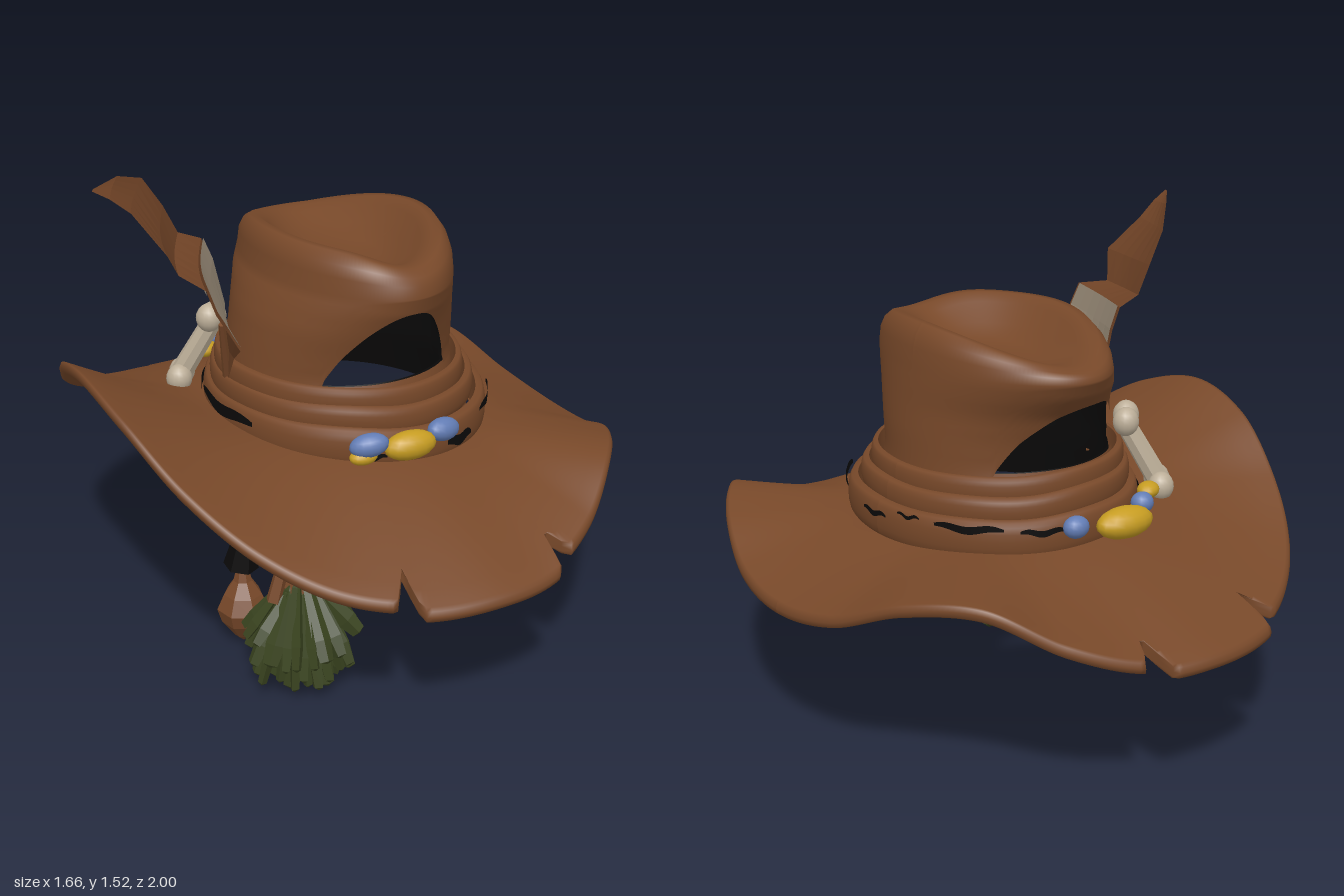
import * as THREE from 'three';
import { mergeGeometries } from 'three/addons/utils/BufferGeometryUtils.js';

const mat = (name, color, side = THREE.FrontSide) =>
  Object.assign(new THREE.MeshStandardMaterial({ color, side }), { name });
const rad = Math.PI / 180, TAU = Math.PI * 2;
const lerp = THREE.MathUtils.lerp;

// Surface from fn(u, v) -> [x, y, z] on an nu x nv grid
function grid(nu, nv, fn, flip = false) {
  const pos = [], idx = [];
  for (let i = 0; i <= nu; i++) for (let j = 0; j <= nv; j++) pos.push(...fn(i / nu, j / nv, j));
  for (let i = 0; i < nu; i++) for (let j = 0; j < nv; j++) {
    const a = i * (nv + 1) + j, b = a + 1, c = a + nv + 1, d = c + 1;
    if (flip) idx.push(a, c, b, b, c, d); else idx.push(a, b, c, b, d, c);
  }
  const g = new THREE.BufferGeometry();
  g.setAttribute('position', new THREE.Float32BufferAttribute(pos, 3));
  g.setIndex(idx);
  g.computeVertexNormals();
  return g;
}
function flat(g) {
  const f = g.index ? g.toNonIndexed() : g;
  f.computeVertexNormals();
  return f;
}

// Brim edge height every 15 degrees, starting at +x and turning towards +z
const EDGE = [.50, .53, .62, .65, .54, .475, .465, .465, .50, .59, .72, .86,
  .92, .86, .72, .60, .52, .48, .47, .475, .54, .64, .62, .53];
const edgeCurve = new THREE.CatmullRomCurve3(EDGE.map((h, i) =>
  new THREE.Vector3(Math.cos(i * 15 * rad), h, Math.sin(i * 15 * rad))), true);
const NOTCHES = [70.5, 107, 250, 282.5];

function brimGeometry() {
  const rows = [];
  for (let k = 0; k <= 10; k++) rows.push([k / 10 * .97, -.035]);
  rows.push([.995, -.028], [1, -.012], [.99, .002]);
  for (let k = 10; k >= 0; k--) rows.push([k / 10 * .97, .005]);
  return grid(360, rows.length - 1, (u, v, j) => {
    const deg = u * 360, a = deg * rad, [t, dy] = rows[j];
    const flap = (deg > NOTCHES[0] && deg < NOTCHES[1]) || (deg > NOTCHES[2] && deg < NOTCHES[3]) ? 1.05 : 1;
    let limit = 2;
    for (const n of NOTCHES) {
      const d = Math.abs(deg - n);
      if (d < 2.6) limit = Math.min(limit, .79 + .25 * d / 2.6);
    }
    const s = Math.min(t * flap, limit);
    const base = .665 - .025 * Math.cos(a), h = edgeCurve.getPoint(u % 1).y;
    return [lerp(.035 + .4 * Math.cos(a), .83 * Math.cos(a), s),
      base + (h - base) * Math.pow(s, 1.2) + dy, lerp(.45 * Math.sin(a), .975 * Math.sin(a), s)];
  });
}

// Crown wall: height, x min, x max, z min, z max
const WALL = [[.6, -.37, .44, -.455, .455], [.78, -.335, .375, -.385, .375], [.87, -.328, .37, -.36, .345],
  [.95, -.315, .367, -.37, .365], [1.03, -.3, .36, -.405, .4], [1.1, -.275, .355, -.465, .432], [1.15, -.25, .35, -.49, .445]];
function wallPoint(a, y, inset) {
  let i = 0;
  while (i < WALL.length - 2 && y > WALL[i + 1][0]) i++;
  const A = WALL[i], B = WALL[i + 1], f = (y - A[0]) / (B[0] - A[0]);
  const [, x0, x1, z0, z1] = A.map((q, k) => lerp(q, B[k], f));
  const pinch = 1 - .13 * Math.sin(a) ** 2 * THREE.MathUtils.smoothstep(y, .9, 1.15);
  return [(x0 + x1) / 2 + ((x1 - x0) / 2 - inset) * Math.cos(a) * pinch, y,
    (z0 + z1) / 2 + ((z1 - z0) / 2 - inset) * Math.sin(a)];
}
// Lower border of the upper crown: arched openings at front and back
function openingTop(deg) {
  const arch = (c, w, h) => Math.abs(deg - c) < w ? .85 + h * (1 - Math.pow(Math.abs(deg - c) / w, 2.4)) : .85;
  return Math.max(arch(88, 38, .25), arch(260, 50, .21));
}
// Rim and dent of the crown top: scale, share of rim height
const CAP = [[.985, .45], [.95, .75], [.88, 1], [.8, 1], [.7, .8], [.55, .35], [.35, .05], [.15, 0], [0, 0]];
function upperCrown(inset, flip) {
  const wallRows = 12;
  return grid(180, wallRows + CAP.length, (u, v, j) => {
    const a = u * TAU;
    if (j <= wallRows) return wallPoint(a, lerp(openingTop(u * 360), 1.15, j / wallRows), inset);
    const [s, k] = CAP[j - wallRows - 1], p = wallPoint(a, 1.15, inset);
    const hump = .025 * Math.exp(-(((u * 360 - 122) / 28) ** 2));
    const crest = 1.238 + .036 * Math.cos(2 * a) + .017 * Math.sin(a) + .002 * Math.cos(a) + hump;
    return [.05 + (p[0] - .05) * s, 1.15 + (crest - 1.15) * k - inset, -.022 + (p[2] + .022) * s];
  }, flip);
}
const lowerCrown = (inset, flip) => grid(90, 6, (u, v) => wallPoint(u * TAU, lerp(.62, .86, v), inset), flip);

// Leather strap around the crown, full on the outside and flat on the inside
const strap = (cx, rx, rz, y, h, th, ripple) => grid(96, 16, (u, v) => {
  const a = u * TAU, b = v * TAU - Math.PI, r = th * Math.sqrt(Math.max(0, Math.cos(b)));
  const wave = ripple * (Math.sin(3 * a + 1) + .5 * Math.sin(7 * a));
  return [cx + (rx + r) * Math.cos(a), y + wave + h * Math.sin(b) - .012 * Math.cos(a), (rz + r) * Math.sin(a)];
});
// Tapered dark gap on the band, between two angles
const gap = (a0, a1, y, h) => grid(20, 2, (u, v) => {
  const a = lerp(a0, a1, u) * rad, w = h * Math.sqrt(Math.sin(Math.PI * (.04 + .92 * u)));
  return [.04 + .437 * Math.cos(a), y + w * (v - .5) * 2 + .005 * Math.sin(u * 9), .498 * Math.sin(a)];
});

// Feather rows: back edge and front edge
const FEATHER = [
  [[-.33, .8, -.06], [-.36, .8, .0]], [[-.325, .92, -.08], [-.38, .92, .1]], [[-.325, 1.02, -.1], [-.44, 1.02, .28]],
  [[-.36, 1.17, -.1], [-.53, 1.16, .32]], [[-.39, 1.24, -.1], [-.55, 1.23, .3]], [[-.465, 1.27, -.1], [-.59, 1.25, .2]],
  [[-.51, 1.36, -.1], [-.65, 1.34, .27]], [[-.58, 1.46, -.08], [-.72, 1.45, .19]],
  [[-.7, 1.515, .04], [-.78, 1.5, .19]], [[-.82, 1.53, .17], [-.83, 1.53, .19]]];
const vane = (r0, r1, off, w0 = 0, w1 = 1) => flat(grid(r1 - r0, 6, (u, v) => {
  const [b, f] = FEATHER[r0 + Math.round(u * (r1 - r0))], w = lerp(w0, w1, v);
  const p = b.map((q, k) => lerp(q, f[k], w)), bow = .04 * (f[2] - b[2]) * Math.sin(Math.PI * w);
  return [p[0] - bow + off, p[1] - bow * .4 + off * .6, p[2]];
}));

export function createModel() {
  const root = new THREE.Group();
  root.name = 'hat';
  const M = {
    leather: mat('brown leather', 0x774829), feather: mat('brown feather', 0x704326, THREE.DoubleSide),
    dark: mat('black lining', 0x0b0a0a, THREE.DoubleSide), gold: mat('gold', 0xc79d22),
    blue: mat('blue stone', 0x637db5), bone: mat('bone', 0xbcae98),
    grey: mat('grey feather patch', 0x968875, THREE.DoubleSide), green: mat('green leaves', 0x39431f)
  };
  const add = (name, geo, m) => {
    const o = new THREE.Mesh(geo, m);
    o.name = name;
    root.add(o);
    return o;
  };
  const ball = (name, m, p, s) => {
    const o = add(name, new THREE.SphereGeometry(1, 16, 10), m);
    o.position.set(...p);
    o.scale.set(...s);
    return o;
  };
  const rod = (name, m, a, b, r0, r1, sides = 8) => {
    const A = new THREE.Vector3(...a), B = new THREE.Vector3(...b), d = B.clone().sub(A);
    const o = add(name, flat(new THREE.CylinderGeometry(r1, r0, d.length(), sides)), m);
    o.position.copy(A).add(B).multiplyScalar(.5);
    o.quaternion.setFromUnitVectors(new THREE.Vector3(0, 1, 0), d.normalize());
  };

  // Hat body and lining
  add('brim', brimGeometry(), M.leather);
  add('crown', upperCrown(0, false), M.leather);
  add('crownBase', lowerCrown(0, false), M.leather);
  add('crownLining', upperCrown(.01, true), M.dark);
  add('baseLining', lowerCrown(.01, true), M.dark);

  // Band of folded straps
  add('upperStrap', strap(.02, .36, .392, .825, .042, .022, .002), M.leather);
  add('middleStrap', strap(.03, .378, .418, .775, .042, .026, .004), M.leather);
  add('lowerStrap', strap(.04, .4, .457, .7, .06, .032, .004), M.leather);
  for (const [a0, a1, y, h] of [[26, 54, .735, .015], [-6, 8, .712, .009], [-22, -12, .735, .006], [-54, -28, .728, .012],
    [62, 77, .69, .018], [104, 114, .69, .008], [158, 196, .735, .02], [203, 240, .705, .022], [282, 300, .72, .01]])
    add('bandGap', gap(a0, a1, y, h), M.dark);

  // Stones at front and back
  ball('frontGold', M.gold, [0, .722, .5], [.085, .044, .045]);
  ball('frontGoldSmall', M.gold, [-.14, .702, .472], [.045, .024, .03]);
  for (const s of [-1, 1]) {
    const o = ball('frontBlue', M.blue, [s * .125, .738, .478], [.06, .036, .036]);
    o.rotation.set(0, s * .3, -s * .15);
  }
  ball('backGold', M.gold, [-.05, .72, -.535], [.1, .048, .055]);
  ball('backBlue', M.blue, [.11, .73, -.505], [.042, .034, .034]);
  ball('backBlue', M.blue, [-.17, .74, -.475], [.036, .033, .034]);
  ball('backGoldSmall', M.gold, [-.255, .745, -.405], [.045, .025, .034]).rotation.y = .6;

  // Bone tucked in the band
  rod('boneShaft', M.bone, [-.385, .73, -.3], [-.3, .91, -.24], .036, .032);
  for (const [x, y, z] of [[-.405, .72, -.275], [-.37, .715, -.335], [-.32, .93, -.22], [-.29, .92, -.255]])
    ball('boneKnob', M.bone, [x, y, z], [.042, .046, .04]);

  // Feather with a grey patch
  add('feather', vane(0, 9, 0), M.feather);
  add('featherPatch', vane(2, 4, .007, .02, .95), M.grey);
  add('featherPatchOuter', vane(3, 4, -.007, .3, .6), M.grey);
  rod('quill', M.leather, [-.34, .76, -.03], [-.4, 1.02, .06], .018, .01, 6);

  // Leaf bundle under the brim
  let seed = 7;
  const rnd = () => (seed = (seed * 16807) % 2147483647) / 2147483647;
  const leaves = [], up = new THREE.Vector3(0, 1, 0), count = 56;
  for (let i = 0; i < count; i++) {
    const a = i * 2.4, tier = i / count;
    const top = new THREE.Vector3(-.35 + .04 * Math.cos(a), .37 - .05 * rnd(), .47 + .04 * Math.sin(a));
    const r = lerp(.06, .165, Math.sqrt(tier)) + .02 * rnd();
    const end = new THREE.Vector3(-.35 + r * Math.cos(a), lerp(.005, .16, tier * tier) + .06 * rnd(), .475 + r * Math.sin(a));
    const d = end.clone().sub(top), L = d.length();
    const blade = new THREE.LatheGeometry([[0, 0], [.016, .02], [.03, L * .72], [.022, L * .97], [0, L]]
      .map(p => new THREE.Vector2(...p)), 4);
    blade.scale(1, 1, .6);
    blade.rotateY(rnd() * 3);
    blade.applyQuaternion(new THREE.Quaternion().setFromUnitVectors(up, d.normalize()));
    blade.translate(top.x, top.y, top.z);
    leaves.push(flat(blade));
  }
  add('leafBundle', mergeGeometries(leaves), M.green);
  rod('bundleKnot', M.leather, [-.35, .32, .47], [-.33, .41, .48], .055, .035, 7);
  rod('bundleTie', M.leather, [-.43, .29, .46], [-.4, .4, .46], .025, .02, 5);
  rod('bundleCord', M.dark, [-.33, .39, .48], [-.27, .45, .485], .04, .03, 6);
  ball('bead', M.leather, [-.25, .355, .53], [.052, .05, .048]);
  rod('beadTie', M.leather, [-.33, .39, .5], [-.26, .37, .52], .025, .025, 6);

  // Hanging pouch on a cord
  const pouch = [[0, .01], [.03, .035], [.068, .085], [.082, .13], [.06, .18], [.03, .225], [.018, .27], [.03, .285], [0, .29]];
  add('pouch', flat(new THREE.LatheGeometry(pouch.map(p => new THREE.Vector2(...p)), 7)), M.leather).position.set(-.41, 0, .195);
  rod('pouchCord', M.dark, [-.41, .27, .185], [-.4, .38, .2], .055, .035, 6);
  rod('pouchWrap', M.leather, [-.405, .365, .2], [-.4, .42, .2], .036, .036, 6);
  rod('pouchCordTop', M.dark, [-.4, .41, .2], [-.41, .62, .2], .035, .07, 6);
  return root;
}
